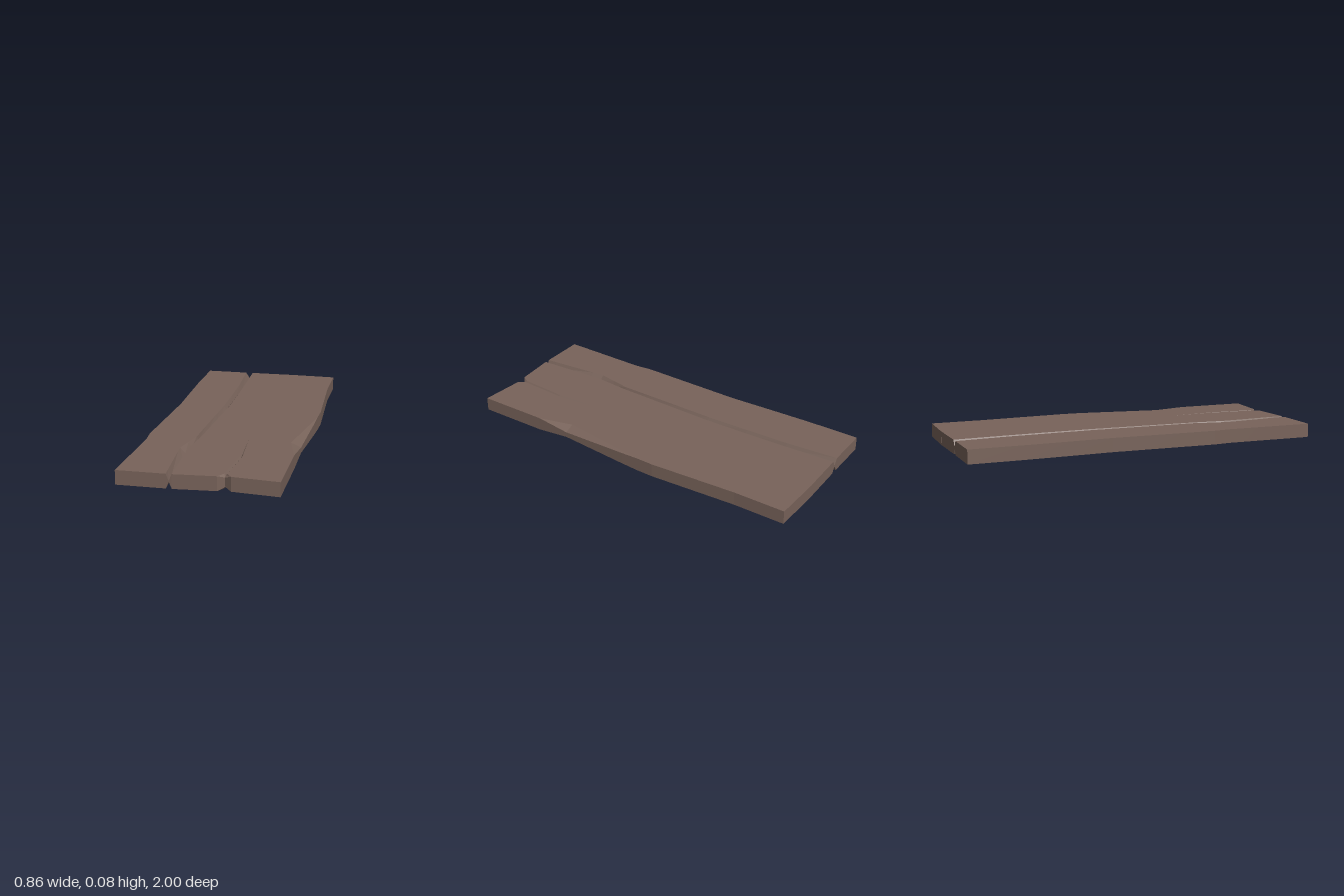
import * as THREE from 'three';

const H = 0.077;

// Piecewise-linear track along the plank: [z, value] keys
function track(keys) {
  return z => {
    if (z <= keys[0][0]) return keys[0][1];
    for (let i = 1; i < keys.length; i++) {
      const [z0, v0] = keys[i - 1], [z1, v1] = keys[i];
      if (z <= z1) return v0 + (v1 - v0) * (z - z0) / (z1 - z0);
    }
    return keys[keys.length - 1][1];
  };
}

// Outer edges, with a worn bevel on the left (+x) side
const rightEdge = track([[-1, -0.43], [-0.65, -0.43], [-0.2, -0.415], [0.4, -0.43], [0.5, -0.42], [1, -0.43]]);
const leftEdge = track([[-1, 0.4], [-0.7, 0.4], [-0.2, 0.427], [0, 0.422], [0.4, 0.405], [0.6, 0.4], [1, 0.4]]);
const bevelWidth = track([[-0.1, 0], [0.4, 0.055], [0.6, 0]]);
const bevelDrop = track([[-0.1, 0], [0.4, 0.023], [0.6, 0]]);

// Long split: two lips and a valley
const splitA = track([[-1, -0.183], [-0.7, -0.163], [-0.25, -0.152], [0.4, -0.166], [0.6, -0.205], [1, -0.17]]);
const splitMid = track([[-1, -0.16], [-0.7, -0.146], [-0.25, -0.137], [0.4, -0.157], [0.6, -0.178], [1, -0.155]]);
const splitB = track([[-1, -0.14], [-0.7, -0.128], [-0.25, -0.118], [0.4, -0.142], [0.6, -0.16], [1, -0.14]]);
const splitDepth = track([[-1, 0.036], [-0.7, 0.03], [-0.25, 0.022], [0.4, 0.022], [0.6, 0.03], [1, 0.036]]);

// Short crack, opening towards the front end
const crackMid = track([[0.4, 0.12], [0.67, 0.137], [0.94, 0.118], [1, 0.118]]);
const crackHalf = track([[0.4, 0], [0.67, 0.007], [0.94, 0.008], [1, 0.034]]);
const crackDepth = track([[0.4, 0], [0.67, 0.008], [0.94, 0.01], [1, 0.014]]);

const stations = [-1, -0.7, -0.45, -0.2, -0.1, 0, 0.2, 0.4, 0.5, 0.6, 0.67, 0.94, 1];
// Small unevenness of the two sawn ends, one value per column
const frontCut = [0, 0, 0, 0, -0.017, -0.045, -0.023, 0];
const backCut = [0.004, 0.004, 0.004, 0.004, 0.001, 0, 0, 0.009];

function crossSection(z, s) {
  const cut = s === 0 ? backCut : s === stations.length - 1 ? frontCut : null;
  const c = crackMid(z), h = crackHalf(z), edge = leftEdge(z), drop = bevelDrop(z);
  const xs = [rightEdge(z), splitA(z), splitMid(z), splitB(z), c - h, c, c + h, edge - bevelWidth(z)];
  const sink = [0, 0, splitDepth(z), 0, 0, crackDepth(z), 0, 0];
  const zs = xs.map((_, i) => z + (cut ? cut[i] : 0));
  const top = xs.map((x, i) => [x, H - sink[i], zs[i]]);
  const bottom = xs.map((x, i) => [x, sink[i], zs[i]]).reverse();
  return [...top, [edge, H - drop, zs[7]], [edge, drop, zs[7]], ...bottom];
}

function plankGeometry() {
  const rings = stations.map(crossSection);
  const n = rings[0].length, pos = [];
  const quad = (a, b, c, d) => pos.push(...a, ...b, ...c, ...a, ...c, ...d);

  // Skin between neighbouring cross-sections
  for (let s = 0; s < rings.length - 1; s++) {
    for (let i = 0; i < n; i++) {
      const j = (i + 1) % n;
      quad(rings[s][i], rings[s + 1][i], rings[s + 1][j], rings[s][j]);
    }
  }
  // Sawn ends
  const back = rings[0], front = rings[rings.length - 1];
  for (let i = 0; i < 7; i++) {
    quad(front[i], front[n - 1 - i], front[n - 2 - i], front[i + 1]);
    quad(back[i], back[i + 1], back[n - 2 - i], back[n - 1 - i]);
  }
  const geometry = new THREE.BufferGeometry();
  geometry.setAttribute('position', new THREE.Float32BufferAttribute(pos, 3));
  geometry.computeVertexNormals();
  return geometry;
}

export function createModel() {
  const group = new THREE.Group();
  group.name = 'woodenPlank';
  const wood = new THREE.MeshStandardMaterial({ color: 0x78635a, flatShading: true });
  const plank = new THREE.Mesh(plankGeometry(), wood);
  plank.name = 'plank';
  group.add(plank);
  return group;
}
